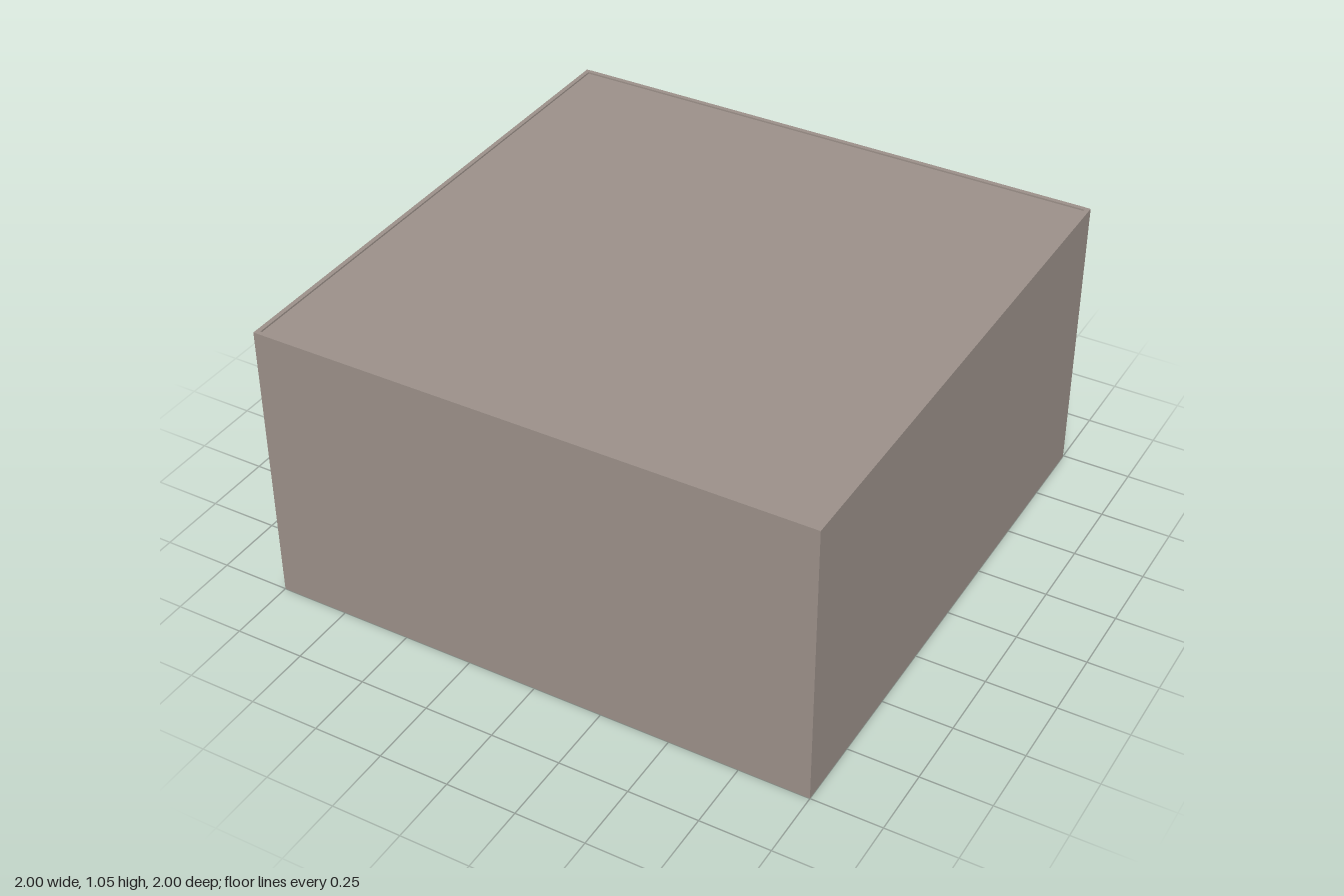
import * as THREE from 'three';

const H = 1.05, T = 0.016;          // room height, wall thickness
const DOOR_W = 0.3, DOOR_H = 0.59;  // clear opening

const material = (color) => new THREE.MeshStandardMaterial({ color });
const wallMat = material(0x9a8f88);
const trimMat = material(0x9c9a58);
const floorMat = material(0x54423c);
const rugMat = material(0xb0b0b0);
const woodMat = material(0x6b5549);
const clothMat = material(0xcccccc);

function add(parent, name, geometry, mat, x = 0, y = 0, z = 0) {
  const mesh = new THREE.Mesh(geometry, mat);
  mesh.name = name;
  mesh.position.set(x, y, z);
  parent.add(mesh);
  return mesh;
}

// Box given by its centre in x and z and by its base height
function box(parent, name, mat, w, h, d, x, y, z) {
  return add(parent, name, new THREE.BoxGeometry(w, h, d), mat, x, y + h / 2, z);
}

// Upright outline with a doorway notched out of its lower edge
function archShape(halfWidth, height, doorHalf, doorHeight) {
  const s = new THREE.Shape();
  s.moveTo(-halfWidth, 0);
  s.lineTo(-doorHalf, 0);
  s.lineTo(-doorHalf, doorHeight);
  s.lineTo(doorHalf, doorHeight);
  s.lineTo(doorHalf, 0);
  s.lineTo(halfWidth, 0);
  s.lineTo(halfWidth, height);
  s.lineTo(-halfWidth, height);
  s.closePath();
  return s;
}

const extrude = (shape, depth) =>
  new THREE.ExtrudeGeometry(shape, { depth, bevelEnabled: false });

function createShell() {
  const shell = new THREE.Group();
  shell.name = 'roomShell';
  box(shell, 'floor', floorMat, 2 - 2 * T, 0.01, 2 - T - 0.004, 0, 0, -T / 2 + 0.002);
  // Roof sits a little below the rim of the walls
  box(shell, 'roof', wallMat, 2 - 2 * T, T, 2 - 2 * T, 0, H - T - 0.006, 0);
  for (const side of [-1, 1]) {
    box(shell, side > 0 ? 'leftWall' : 'rightWall', wallMat,
      T, H, 2 - 0.004, side * (1 - T / 2), 0, 0.002);
  }
  box(shell, 'frontWall', wallMat, 2 - 2 * T, H, T, 0, 0, 1 - T / 2);
  add(shell, 'backWall', extrude(archShape(1 - T, H, DOOR_W / 2, DOOR_H), T),
    wallMat, 0, 0, -0.997);
  // Door casing stands slightly proud of the wall on both faces
  add(shell, 'doorFrame', extrude(archShape(0.2, 0.637, DOOR_W / 2, DOOR_H), T + 0.008),
    trimMat, 0, 0, -1);
  return shell;
}

function createBed() {
  const bed = new THREE.Group();
  bed.name = 'bed';
  for (const x of [-0.23, 0.23]) {
    for (const z of [-0.41, 0.41]) box(bed, 'bedLeg', woodMat, 0.04, 0.1, 0.04, x, 0, z);
  }
  box(bed, 'bedFrame', woodMat, 0.5, 0.07, 0.86, 0, 0.08, 0);
  box(bed, 'mattress', clothMat, 0.46, 0.07, 0.82, 0, 0.15, 0);
  box(bed, 'headboard', woodMat, 0.5, 0.34, 0.03, 0, 0, -0.43);
  box(bed, 'pillow', clothMat, 0.3, 0.04, 0.14, 0, 0.22, -0.31);
  bed.position.set(-0.58, 0.005, -0.4);
  return bed;
}

function createCabinet() {
  const cabinet = new THREE.Group();
  cabinet.name = 'cabinet';
  box(cabinet, 'cabinetBody', woodMat, 0.4, 0.37, 0.5, 0, 0, 0);
  box(cabinet, 'cabinetTop', woodMat, 0.42, 0.015, 0.52, 0, 0.37, 0);
  for (const z of [-0.125, 0.125]) {
    box(cabinet, 'cabinetDoor', woodMat, 0.01, 0.32, 0.23, -0.204, 0.025, z);
  }
  cabinet.position.set(0.56, 0.01, -0.35);
  return cabinet;
}

export function createModel() {
  const model = new THREE.Group();
  model.name = 'room';
  model.add(createShell(), createBed(), createCabinet());
  // Pale runner leading in from the doorway
  box(model, 'rug', rugMat, 0.3, 0.004, 1.2, 0, 0.01, -0.37);
  return model;
}
